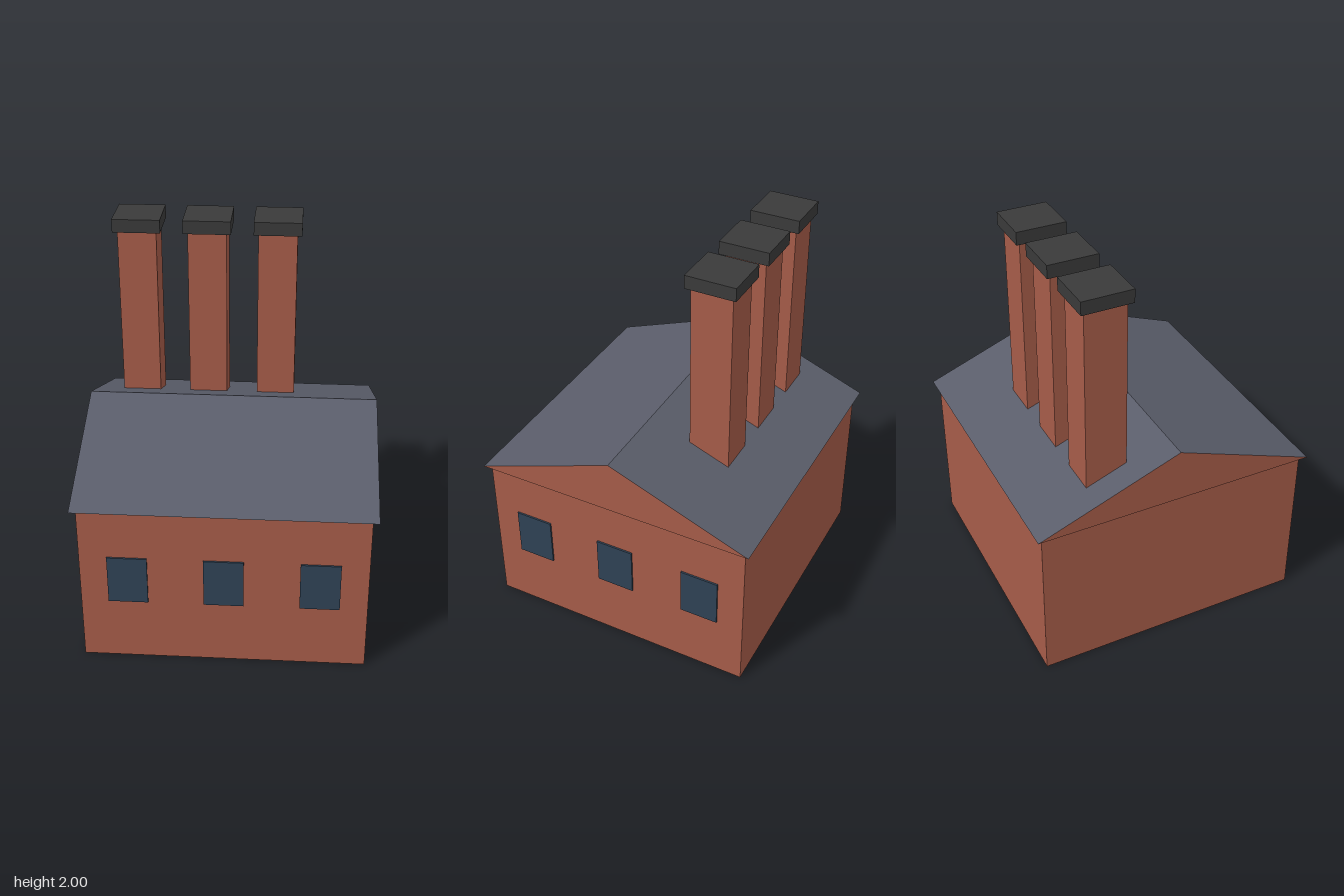
import * as THREE from 'three';

const material = (name, color) => {
  const m = new THREE.MeshStandardMaterial({ color });
  m.name = name;
  return m;
};

export function createModel() {
  const brick = material('brick', 0xa65c49);
  const slate = material('slate', 0x5a5d6a);
  const glass = material('windowBlue', 0x2f4255);
  const soot = material('capGrey', 0x3a3a3a);

  const model = new THREE.Group();
  model.name = 'factory';

  const box = (name, size, position, mat, parent = model) => {
    const mesh = new THREE.Mesh(new THREE.BoxGeometry(...size), mat);
    mesh.name = name;
    mesh.position.set(...position);
    parent.add(mesh);
    return mesh;
  };

  // Main building
  box('walls', [1.415, 0.857, 1.415], [0, 0.4285, 0], brick);

  // Gabled roof: brick gable ends, slate slopes and underside
  const gable = new THREE.Shape();
  gable.moveTo(-0.735, 0.857);
  gable.lineTo(0.735, 0.857);
  gable.lineTo(0, 1.136);
  gable.closePath();
  const roofGeometry = new THREE.ExtrudeGeometry(gable, { depth: 1.475, bevelEnabled: false });
  roofGeometry.translate(0, 0, -0.7375).rotateY(Math.PI / 2);
  const roof = new THREE.Mesh(roofGeometry, [brick, slate]);
  roof.name = 'roof';
  model.add(roof);

  // Windows on the front and the left side
  for (const [side, angle] of [['front', 0], ['left', Math.PI / 2]]) {
    const row = new THREE.Group();
    row.name = `${side}Windows`;
    row.rotation.y = angle;
    for (const x of [-0.472, 0, 0.472]) {
      box('window', [0.197, 0.256, 0.009], [x, 0.466, 0.712], glass, row);
    }
    model.add(row);
  }

  // Chimneys with caps on the rear slope
  for (const x of [-0.5, -0.145, 0.211]) {
    const chimney = new THREE.Group();
    chimney.name = 'chimney';
    chimney.position.set(x, 0, -0.32);
    box('chimneyStack', [0.197, 1.06, 0.212], [0, 1.405, 0], brick, chimney);
    box('chimneyCap', [0.242, 0.068, 0.257], [0, 1.966, 0], soot, chimney);
    model.add(chimney);
  }

  return model;
}
